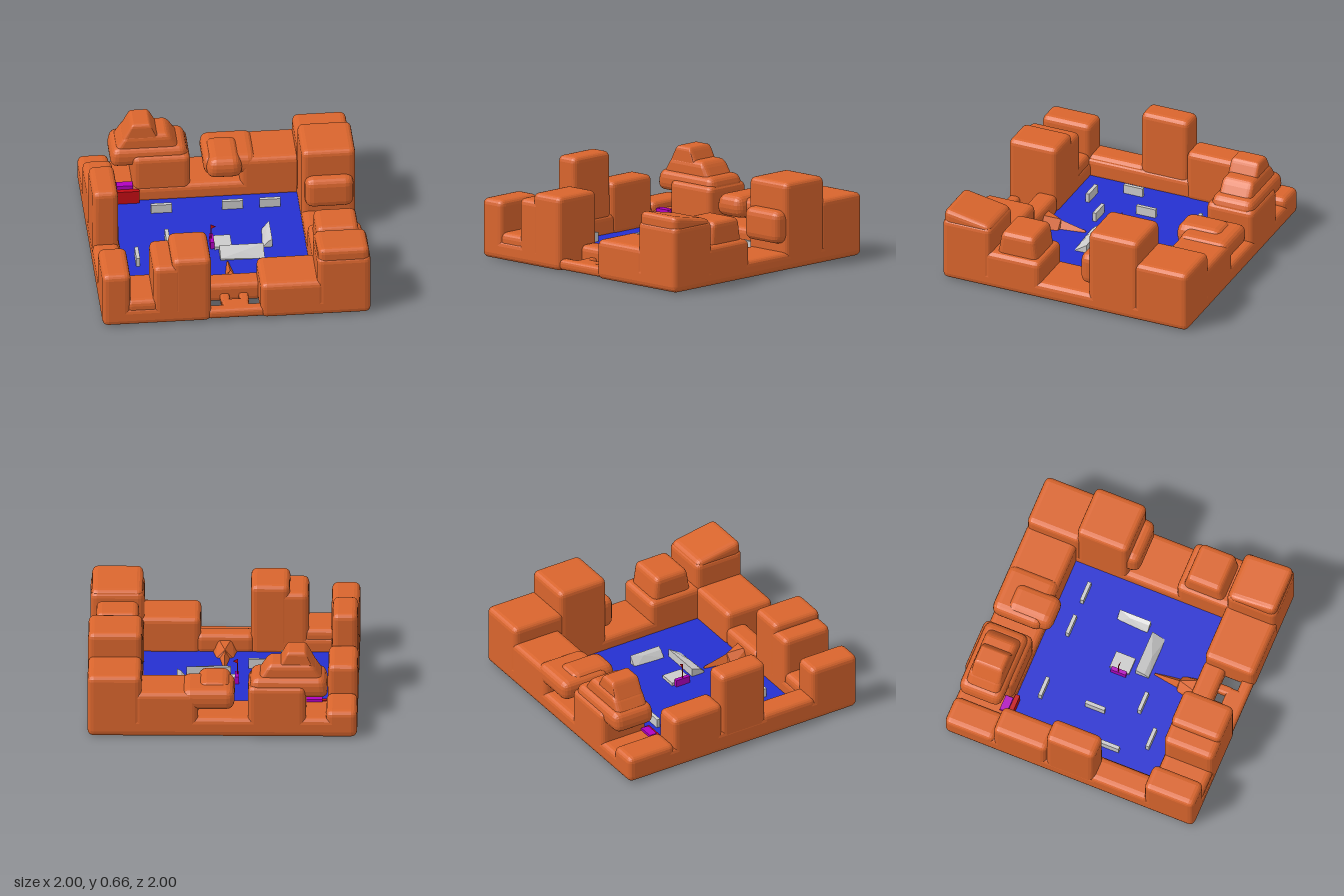
import * as THREE from 'three';
import { RoundedBoxGeometry } from 'three/addons/geometries/RoundedBoxGeometry.js';
import { ConvexGeometry } from 'three/addons/geometries/ConvexGeometry.js';

const mat = (color) => new THREE.MeshStandardMaterial({ color, flatShading: true });

export function createModel() {
  const model = new THREE.Group();
  const rockMat = mat(0xd9652d), blue = mat(0x2530d0), red = mat(0xc40c14);
  const purple = mat(0xb000c0), grey = mat(0xcccccc);

  const add = (name, geometry, material) => {
    const mesh = new THREE.Mesh(geometry, material);
    mesh.name = name;
    model.add(mesh);
    return mesh;
  };

  // Bevelled boulder from its bounds; the top may be narrowed (tx, tz) and tilted along z
  const rock = (name, [x0, x1], [y0, y1], [z0, z1], { r = 0.045, tx = 1, tz = 1, tilt = 0 } = {}) => {
    const w = x1 - x0, h = y1 - y0, d = z1 - z0;
    const g = new RoundedBoxGeometry(w, h, d, 2, Math.min(r, w * 0.45, h * 0.45, d * 0.45));
    const p = g.attributes.position;
    for (let i = 0; i < p.count; i++) {
      const t = p.getY(i) / h + 0.5;
      const z = p.getZ(i);
      p.setXYZ(i, p.getX(i) * (1 + (tx - 1) * t), p.getY(i) + tilt * t * (z / d - 0.5), z * (1 + (tz - 1) * t));
    }
    g.translate((x0 + x1) / 2, (y0 + y1) / 2, (z0 + z1) / 2);
    return add(name, g, rockMat);
  };

  const box = (name, [x0, x1], [y0, y1], [z0, z1], material) => {
    const g = new THREE.BoxGeometry(x1 - x0, y1 - y0, z1 - z0);
    g.translate((x0 + x1) / 2, (y0 + y1) / 2, (z0 + z1) / 2);
    return add(name, g, material);
  };

  const hull = (name, points, material) =>
    add(name, new ConvexGeometry(points.map((p) => new THREE.Vector3(...p))), material);

  // Arena floor
  box('floor', [-0.81, 0.61], [0.02, 0.035], [-0.61, 0.61], blue);

  // Low base ring under the cliffs, open at the front bridge
  rock('backBase', [-1, 1], [0, 0.15], [-1, -0.6]);
  rock('rightBase', [0.6, 1], [0, 0.135], [-1, 1]);
  rock('leftBase', [-1, -0.79], [0, 0.18], [-1, 1]);
  rock('frontLeftBase', [-1, -0.19], [0, 0.15], [0.6, 1]);
  rock('frontRightBase', [0.18, 1], [0, 0.15], [0.6, 1]);

  // Front cliffs
  rock('frontCornerRock', [-1, -0.79], [0.01, 0.45], [0.6, 1]);
  rock('frontGapRock', [-0.83, -0.57], [0.01, 0.21], [0.61, 0.99]);
  rock('frontShoulder', [-0.62, -0.4], [0.01, 0.5], [0.6, 1]);
  rock('frontBlock', [-0.48, -0.19], [0.01, 0.56], [0.6, 1]);
  rock('frontLowWall', [0.18, 0.66], [0.01, 0.3], [0.6, 1]);
  rock('frontTallCorner', [0.6, 1], [0.01, 0.5], [0.6, 1], { tilt: 0 });
  rock('frontTallCornerTop', [0.61, 0.99], [0.36, 0.58], [0.61, 0.99], { tilt: 0.07 });

  // Front bridge with openings and a pointed ramp into the arena
  rock('bridgeBeam', [-0.22, 0.22], [0.01, 0.17], [0.6, 0.77]);
  rock('bridgeLedge', [-0.22, 0.22], [0.01, 0.09], [0.9, 0.99], { r: 0.03 });
  rock('bridgePlank', [-0.1, 0.1], [0.02, 0.09], [0.83, 0.97], { r: 0.02 });
  for (const s of [-1, 1]) {
    rock('bridgeProng', [s * 0.07 - 0.035, s * 0.07 + 0.035], [0.02, 0.09], [0.74, 0.87], { r: 0.02 });
  }
  hull('entrySpike', [
    [-0.1, 0.02, 0.63], [0.1, 0.02, 0.63], [-0.07, 0.02, 0.48], [0.07, 0.02, 0.48], [0, 0.02, 0.45],
    [-0.05, 0.13, 0.63], [0.05, 0.13, 0.63], [0, 0.1, 0.48],
  ], rockMat);
  hull('entrySpikeTip', [
    [-0.05, 0.02, 0.5], [0.05, 0.02, 0.5], [0, 0.1, 0.5], [-0.01, 0.03, 0.28], [0.01, 0.03, 0.28], [0, 0.05, 0.28],
  ], rockMat);

  // Right-hand cliffs
  rock('rightSaddle', [0.6, 1], [0.01, 0.3], [0.2, 0.66]);
  rock('rightMound', [0.63, 0.96], [0.2, 0.47], [0.23, 0.58], { tx: 0.95, tz: 0.78 });
  rock('rightTower', [0.6, 1], [0.01, 0.66], [-0.6, -0.19]);
  rock('rightTowerBulge', [0.62, 0.98], [0.2, 0.45], [-0.3, -0.11], { r: 0.06 });
  rock('backRightCorner', [0.6, 1], [0.01, 0.48], [-1, -0.56]);

  // Back cliffs: low wall ending in an overhanging nose
  rock('backWall', [0.18, 0.66], [0.01, 0.35], [-1, -0.6]);
  rock('backNose', [-0.09, 0.3], [0.21, 0.37], [-1, -0.6], { r: 0.06 });
  rock('backNoseTip', [-0.08, 0.2], [0.22, 0.39], [-0.9, -0.53], { r: 0.07, tx: 0.85 });

  // Peak on a solid foot, with a cave below its overhang
  rock('peakFoot', [-0.62, -0.19], [0.01, 0.4], [-1, -0.61]);
  rock('peakOverhang', [-0.79, -0.19], [0.3, 0.46], [-0.98, -0.64], { r: 0.06, tx: 0.92 });
  rock('peakShoulder', [-0.77, -0.24], [0.4, 0.56], [-0.94, -0.67], { tx: 0.6, tz: 0.95 });
  rock('peakTop', [-0.7, -0.4], [0.5, 0.65], [-0.92, -0.68], { r: 0.03, tx: 0.45, tz: 0.95 });

  // Left-hand cliffs
  rock('backLeftCorner', [-1, -0.77], [0.01, 0.21], [-1, -0.6]);
  rock('leftBlock', [-1, -0.78], [0.01, 0.42], [-0.61, -0.18]);
  rock('leftTower', [-1, -0.8], [0.01, 0.655], [-0.19, 0.2], { tx: 0.94 });
  rock('leftLowWall', [-1, -0.8], [0.01, 0.2], [0.16, 0.64]);

  // Small barriers on the floor: centre x, centre z, turned
  const barriers = [
    [-0.425, -0.435, 0], [0.105, -0.435, 0], [0.385, -0.435, 0], [-0.255, 0.29, 0], [-0.495, 0.455, 0],
    [-0.42, -0.025, 1], [-0.665, 0.19, 1],
  ];
  for (const [x, z, turned] of barriers) {
    const a = turned ? 0.014 : 0.078, b = turned ? 0.078 : 0.014;
    box('barrier', [x - a, x + a], [0.015, 0.105], [z - b, z + b], grey);
  }

  // Central platform with two ramps
  box('platform', [-0.08, 0.05], [0.015, 0.06], [-0.05, 0.105], grey);
  hull('frontRamp', [
    [-0.05, 0.015, 0.145], [0.28, 0.015, 0.145], [-0.05, 0.015, 0.25], [0.28, 0.015, 0.25],
    [-0.05, 0.1, 0.145], [0.28, 0.1, 0.145], [-0.05, 0.08, 0.215], [0.1, 0.08, 0.215],
    [-0.05, 0.05, 0.25], [0.28, 0.03, 0.25],
  ], grey);
  hull('sideRamp', [
    [0.28, 0.015, -0.145], [0.35, 0.015, -0.145], [0.28, 0.015, 0.105], [0.35, 0.015, 0.105],
    [0.35, 0.1, -0.145], [0.35, 0.1, 0.105], [0.32, 0.085, -0.05], [0.32, 0.085, 0.105], [0.28, 0.04, 0.105],
  ], grey);

  // Goal, flag and gates
  box('goal', [-0.11, -0.08], [0.03, 0.09], [-0.03, 0.09], purple);
  box('flagPole', [-0.103, -0.097], [0.06, 0.21], [0.027, 0.033], red);
  hull('flag', [
    [-0.1, 0.21, 0.028], [-0.1, 0.21, 0.032], [-0.1, 0.175, 0.028], [-0.1, 0.175, 0.032],
    [-0.065, 0.192, 0.028], [-0.065, 0.192, 0.032],
  ], red);
  box('redGate', [-0.77, -0.575], [0.03, 0.14], [-0.6, -0.565], red);
  box('purpleGate', [-0.74, -0.62], [0.03, 0.17], [-0.66, -0.6], purple);

  return model;
}
